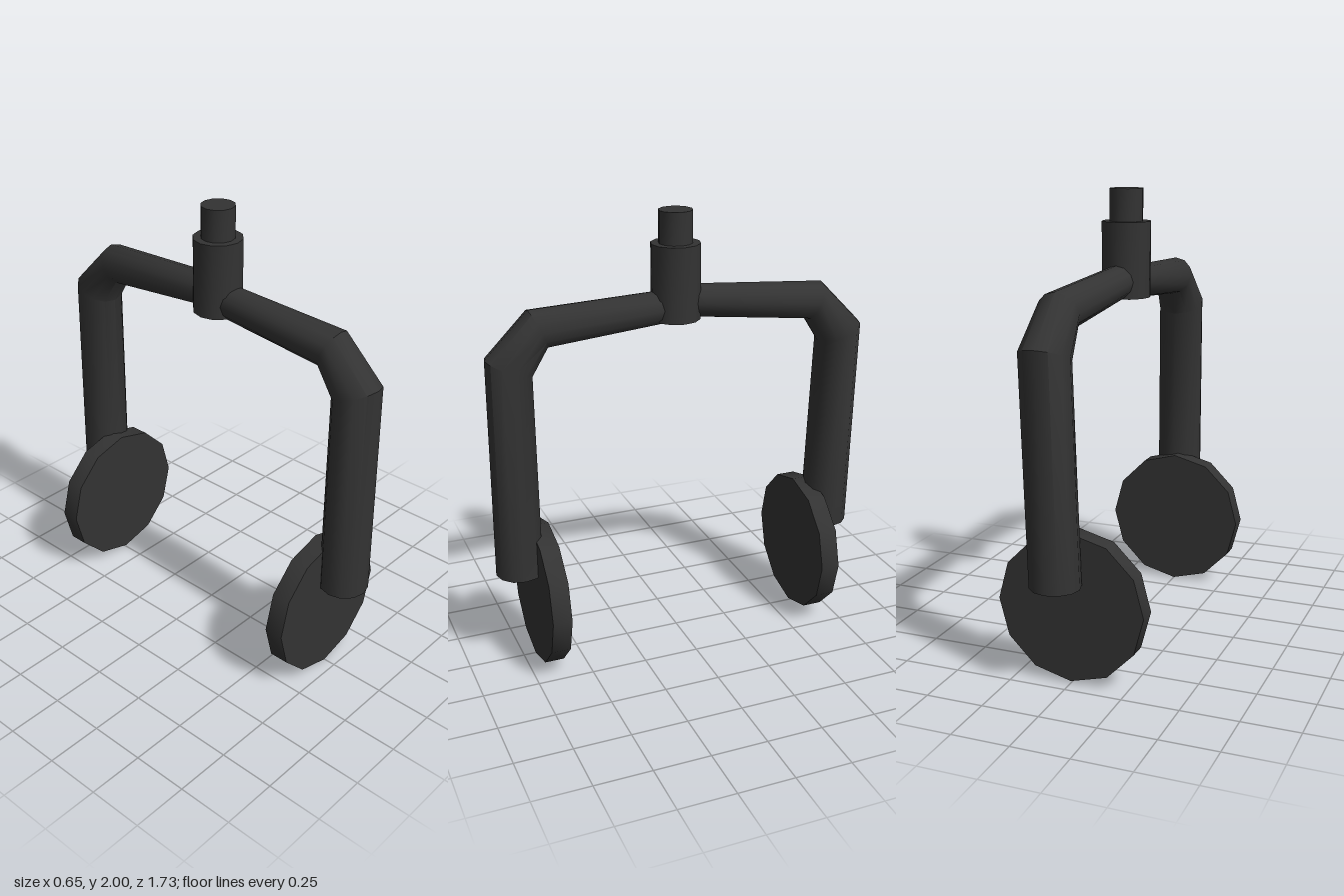
import * as THREE from 'three';
import { toCreasedNormals } from 'three/addons/utils/BufferGeometryUtils.js';

const SIDES = 12;
const material = new THREE.MeshStandardMaterial({ color: 0x333333 });

function addPart(group, name, geometry) {
  const mesh = new THREE.Mesh(toCreasedNormals(geometry, 0.7), material);
  mesh.name = name;
  group.add(mesh);
  return mesh;
}

// Bent tube with closed ends. Each ring: centre x, y, z, half width in x,
// then the y and z of the half axis pointing to the outside of the bend.
function bentTube(rings, s) {
  const pos = [], index = [];
  for (const [x, y, z, w, vy, vz] of rings) {
    for (let j = 0; j < SIDES; j++) {
      const a = (j / SIDES) * Math.PI * 2, c = Math.cos(a), k = Math.sin(a);
      pos.push(x + s * w * c, y + vy * k, s * (z + vz * k));
    }
  }
  const last = (rings.length - 1) * SIDES, start = rings.length * SIDES;
  for (const r of [rings[0], rings[rings.length - 1]]) pos.push(r[0], r[1], s * r[2]);
  for (let j = 0; j < SIDES; j++) {
    const n = (j + 1) % SIDES;
    for (let i = 0; i < last; i += SIDES) {
      const a = i + j, b = i + n, c = a + SIDES, d = b + SIDES;
      index.push(a, c, b, b, c, d);
    }
    index.push(start, j, n, start + 1, last + n, last + j);
  }
  const geometry = new THREE.BufferGeometry();
  geometry.setAttribute('position', new THREE.Float32BufferAttribute(pos, 3));
  geometry.setIndex(index);
  return geometry;
}

export function createModel() {
  const model = new THREE.Group();
  model.name = 'forkFrame';

  // Central socket and the pin above it
  addPart(model, 'socket', new THREE.CylinderGeometry(0.108, 0.108, 0.33, SIDES))
    .position.set(0.025, 1.695, 0.012);
  addPart(model, 'pin', new THREE.CylinderGeometry(0.074, 0.074, 0.16, SIDES))
    .position.set(0.025, 1.92, 0.012);

  // Bent arms: leg foot, elbow pair, then the inner end in the socket
  addPart(model, 'frontArm', bentTube([
    [0.025, 0.45, 0.755, 0.108, 0, 0.106],
    [0.025, 1.4, 0.757, 0.108, 0.04, 0.1],
    [0.023, 1.552, 0.628, 0.09, 0.083, 0.037],
    [0.025, 1.588, 0.055, 0.07, 0.072, 0.005],
  ], 1));
  addPart(model, 'backArm', bentTube([
    [0.035, 0.448, 0.748, 0.108, 0, 0.107],
    [0.056, 1.398, 0.767, 0.108, 0.04, 0.1],
    [0.054, 1.552, 0.636, 0.09, 0.083, 0.037],
    [0.03, 1.604, 0.06, 0.07, 0.073, 0.006],
  ], -1));

  // Round pads on the inner faces of the legs
  for (const [name, y, z] of [['frontPad', 0.326, 0.652], ['backPad', 0.335, -0.643]]) {
    const pad = new THREE.CylinderGeometry(0.324, 0.324, 0.086, 12).rotateX(Math.PI / 2);
    addPart(model, name, pad).position.set(0, y, z);
  }
  return model;
}
